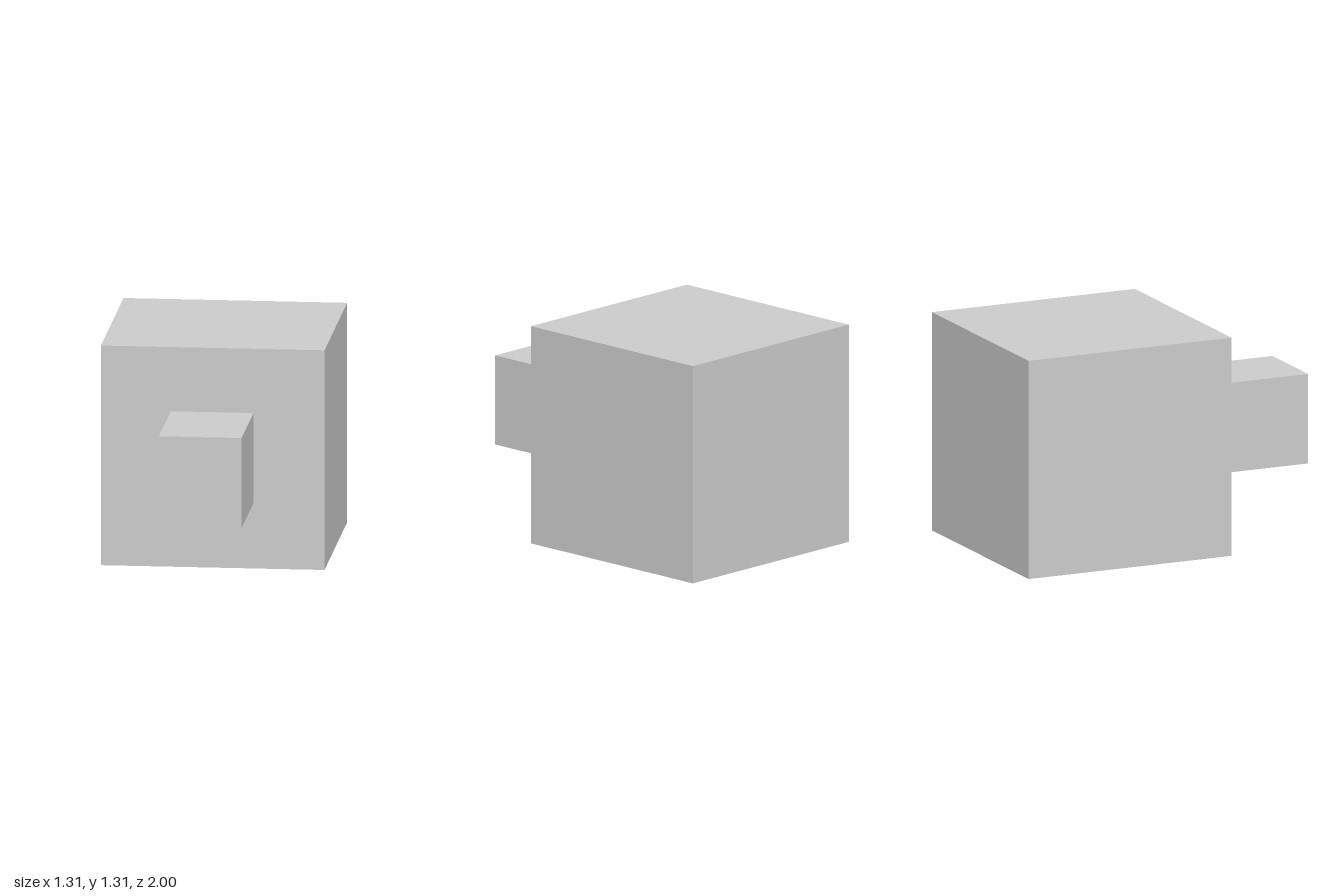
import * as THREE from 'three';

// Box given by its lower and upper limits on each axis
function boxBetween(name, [x0, y0, z0], [x1, y1, z1], material) {
  const mesh = new THREE.Mesh(new THREE.BoxGeometry(x1 - x0, y1 - y0, z1 - z0), material);
  mesh.position.set((x0 + x1) / 2, (y0 + y1) / 2, (z0 + z1) / 2);
  mesh.name = name;
  return mesh;
}

export function createModel() {
  const group = new THREE.Group();
  group.name = 'blockWithFrontProjection';
  const grey = new THREE.MeshStandardMaterial({ color: 0xcccccc, flatShading: true });

  // Large cube at the back
  group.add(boxBetween('mainCube', [-0.655, 0, -1], [0.655, 1.31, 0.31], grey));

  // Smaller block standing out from the front face
  group.add(boxBetween('frontBlock', [-0.246, 0.39, 0.31], [0.239, 0.927, 1], grey));

  return group;
}
